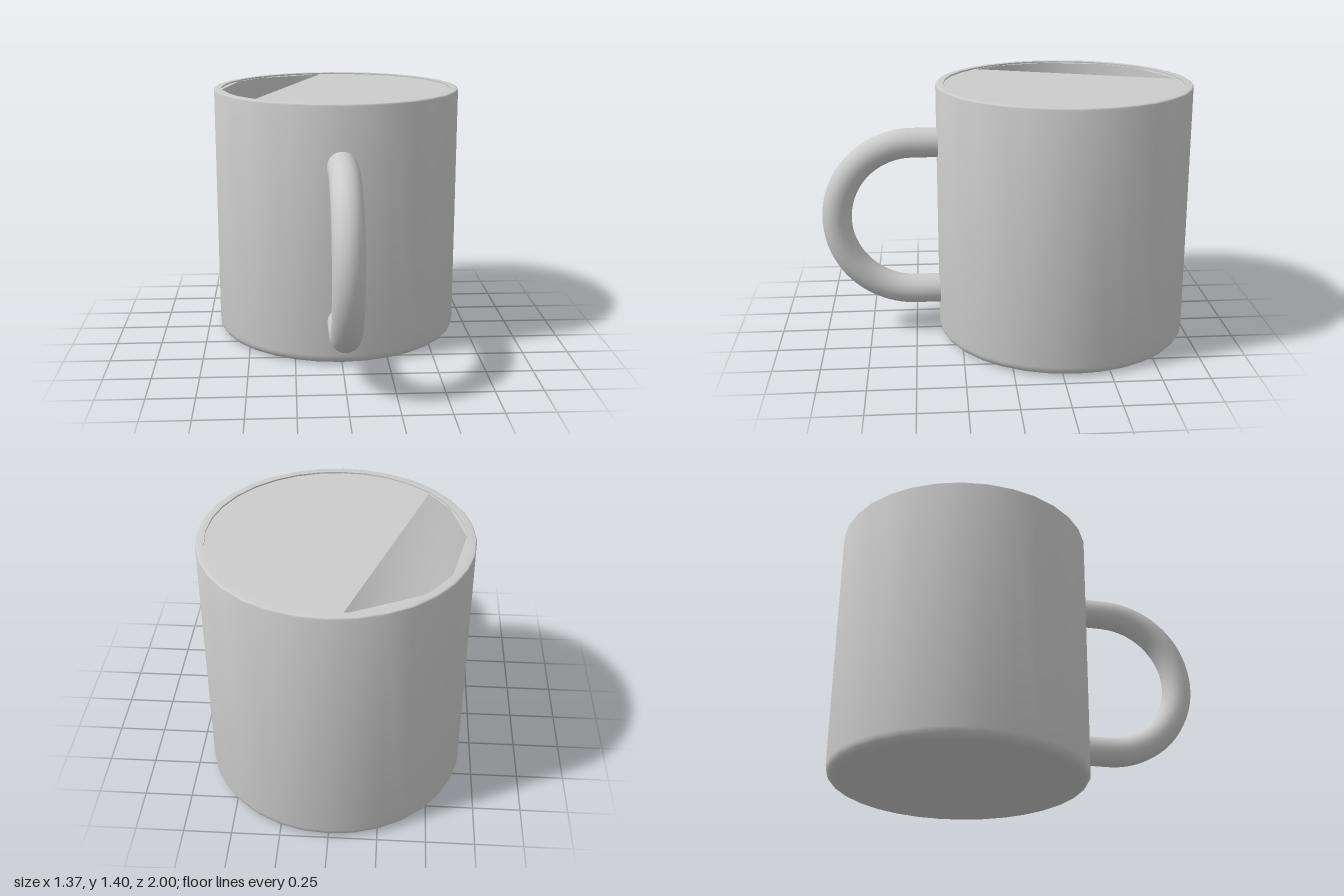
import * as THREE from 'three';
import { toCreasedNormals } from 'three/addons/utils/BufferGeometryUtils.js';

const R = 0.685, INNER = 0.643, H = 1.4, CENTRE_Z = -0.315;

// Quarter-circle profile points around (cx, cy)
function arc(cx, cy, r, from, to, steps) {
  return Array.from({ length: steps + 1 }, (_, i) => {
    const a = from + (to - from) * i / steps;
    return new THREE.Vector2(cx + r * Math.cos(a), cy + r * Math.sin(a));
  });
}

export function createModel() {
  const group = new THREE.Group();
  const material = new THREE.MeshStandardMaterial({ color: 0xcccccc });
  const sheetMaterial = new THREE.MeshStandardMaterial({ color: 0xcccccc, side: THREE.DoubleSide });
  const add = (name, geometry, mat = material) => {
    const mesh = new THREE.Mesh(geometry, mat);
    mesh.name = name;
    group.add(mesh);
    return mesh;
  };

  // Hollow cup: rounded foot, outer wall, softened rim, inner wall, floor
  const profile = [
    new THREE.Vector2(0, 0),
    ...arc(R - 0.05, 0.05, 0.05, -Math.PI / 2, 0, 5),
    ...arc(R - 0.008, H - 0.008, 0.008, 0, Math.PI / 2, 3),
    new THREE.Vector2(INNER, H),
    ...arc(INNER - 0.05, 0.1, 0.05, 0, -Math.PI / 2, 5),
    new THREE.Vector2(0, 0.05),
  ];
  const cup = add('cup', toCreasedNormals(new THREE.LatheGeometry(profile, 32), 0.6));
  cup.position.z = CENTRE_Z;

  // Flat cover just under the rim, open on one side beyond a straight chord
  const cover = new THREE.Shape(arc(0, 0, INNER + 0.005, 0, Math.PI * 2, 32).slice(0, -1));
  const opening = [[-0.07, -0.95], [-0.44, -0.78], [-0.56, -0.62], [-0.637, -0.28], [-0.56, -0.01], [-0.455, 0.13]];
  cover.holes.push(new THREE.Path(opening.map(([x, z]) => new THREE.Vector2(x, CENTRE_Z - z))));
  const sheet = add('cover', new THREE.ShapeGeometry(cover).rotateX(-Math.PI / 2), sheetMaterial);
  sheet.position.set(0, H - 0.008, CENTRE_Z);

  // Handle: two short straights joined by a half circle
  const bend = arc(0.5, 0.66, 0.42, Math.PI / 2, -Math.PI / 2, 24);
  const path = new THREE.CurvePath();
  const points = bend.map(p => new THREE.Vector3(0, p.y, p.x));
  const first = points[0], last = points[points.length - 1];
  path.add(new THREE.LineCurve3(new THREE.Vector3(0, first.y, 0.35), first));
  path.add(new THREE.CatmullRomCurve3(points));
  path.add(new THREE.LineCurve3(last, new THREE.Vector3(0, last.y, 0.35)));
  add('handle', new THREE.TubeGeometry(path, 64, 0.08, 20));

  return group;
}
